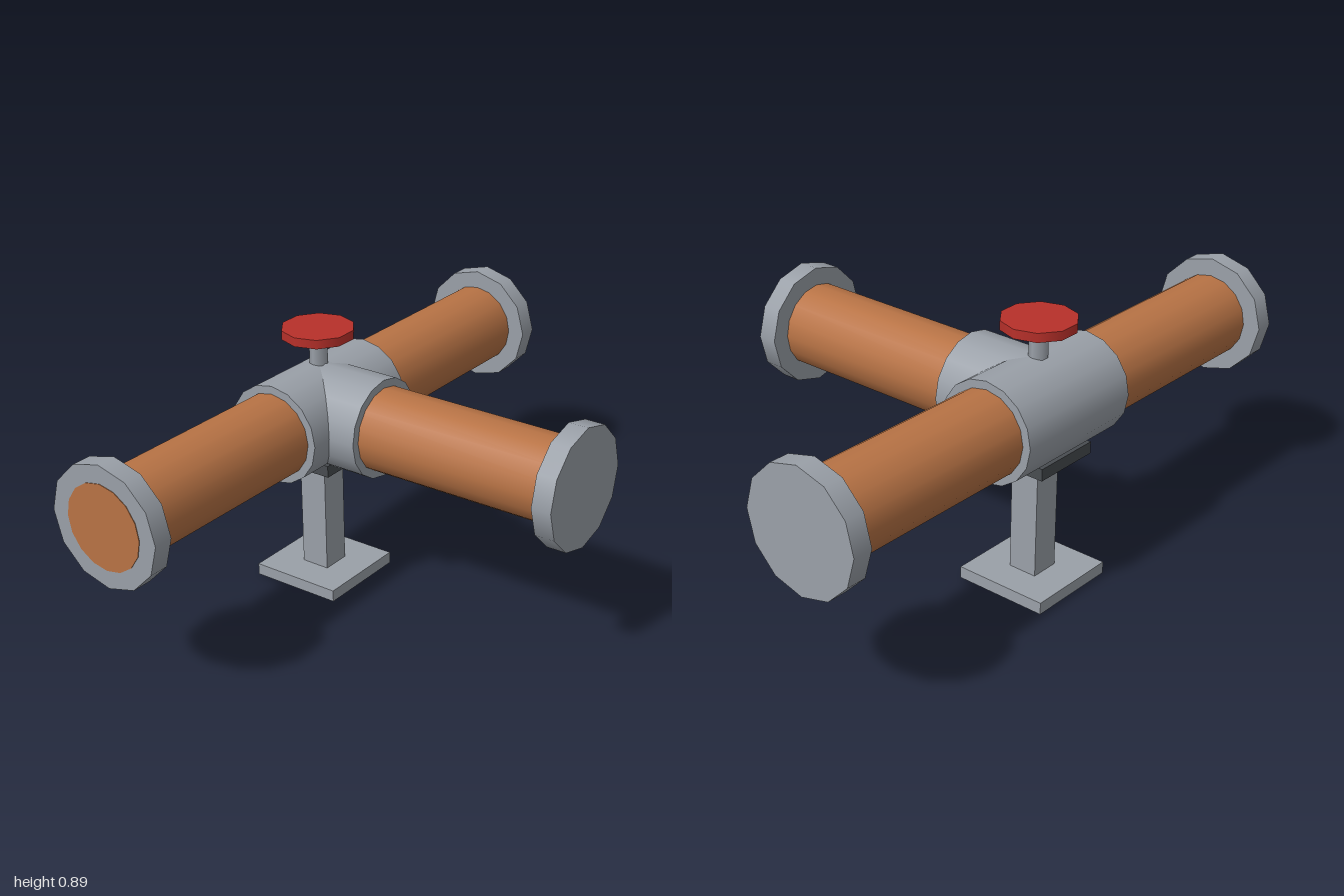
import * as THREE from 'three';

export function createModel() {
  const model = new THREE.Group();
  model.name = 'pipeTee';
  const mat = (name, color) => {
    const m = new THREE.MeshStandardMaterial({ color });
    m.name = name;
    return m;
  };
  const steel = mat('steelGrey', 0x9aa0a8);
  const copper = mat('copper', 0xb87345);
  const red = mat('valveRed', 0xb8302a);
  const dark = mat('darkSteel', 0x484c50);

  const PIPE_Y = 0.6, RUN_Z = -0.4;

  const add = (name, geometry, material, x, y, z) => {
    const mesh = new THREE.Mesh(geometry, material);
    mesh.name = name;
    mesh.position.set(x, y, z);
    model.add(mesh);
    return mesh;
  };
  // cylinder along x between two ends, one vertex pointing up
  const alongX = (name, r, x0, x1, sides, material) => {
    const g = new THREE.CylinderGeometry(r, r, x1 - x0, sides);
    g.rotateZ(Math.PI / 2);
    return add(name, g, material, (x0 + x1) / 2, PIPE_Y, RUN_Z);
  };
  // cylinder along z between two ends
  const alongZ = (name, r, z0, z1, sides, material) => {
    const g = new THREE.CylinderGeometry(r, r, z1 - z0, sides);
    g.rotateX(Math.PI / 2);
    return add(name, g, material, 0, PIPE_Y, (z0 + z1) / 2);
  };
  // upright cylinder with a vertex on the x axis
  const upright = (name, r, y0, y1, sides, material) => {
    const g = new THREE.CylinderGeometry(r, r, y1 - y0, sides);
    g.rotateY(Math.PI / 2);
    return add(name, g, material, 0, (y0 + y1) / 2, RUN_Z);
  };
  const box = (name, w, y0, y1, material) =>
    add(name, new THREE.BoxGeometry(w, y1 - y0, w), material, 0, (y0 + y1) / 2, RUN_Z);

  // pipes: the run shows its end face in the right flange
  alongX('runPipe', 0.14, -1, 0.98, 16, copper);
  alongZ('branchPipe', 0.14, RUN_Z, 0.58, 16, copper);

  // end flanges
  alongX('rightFlange', 0.2, -0.998, -0.933, 12, steel);
  alongX('leftFlange', 0.2, 0.933, 1, 12, steel);
  alongZ('frontFlange', 0.2, 0.533, 0.6, 12, steel);

  // tee fitting
  alongX('teeSleeve', 0.167, -0.24, 0.24, 16, steel);
  alongZ('teeCollar', 0.167, RUN_Z, -0.14, 16, steel);

  // valve
  upright('valveStem', 0.03, 0.72, 0.865, 6, steel);
  upright('valveWheel', 0.12, 0.86, 0.89, 10, red);

  // support
  box('basePlate', 0.32, 0, 0.04, steel);
  box('supportPost', 0.1, 0.04, 0.44, steel);
  box('saddle', 0.24, 0.432, 0.472, dark);

  return model;
}
